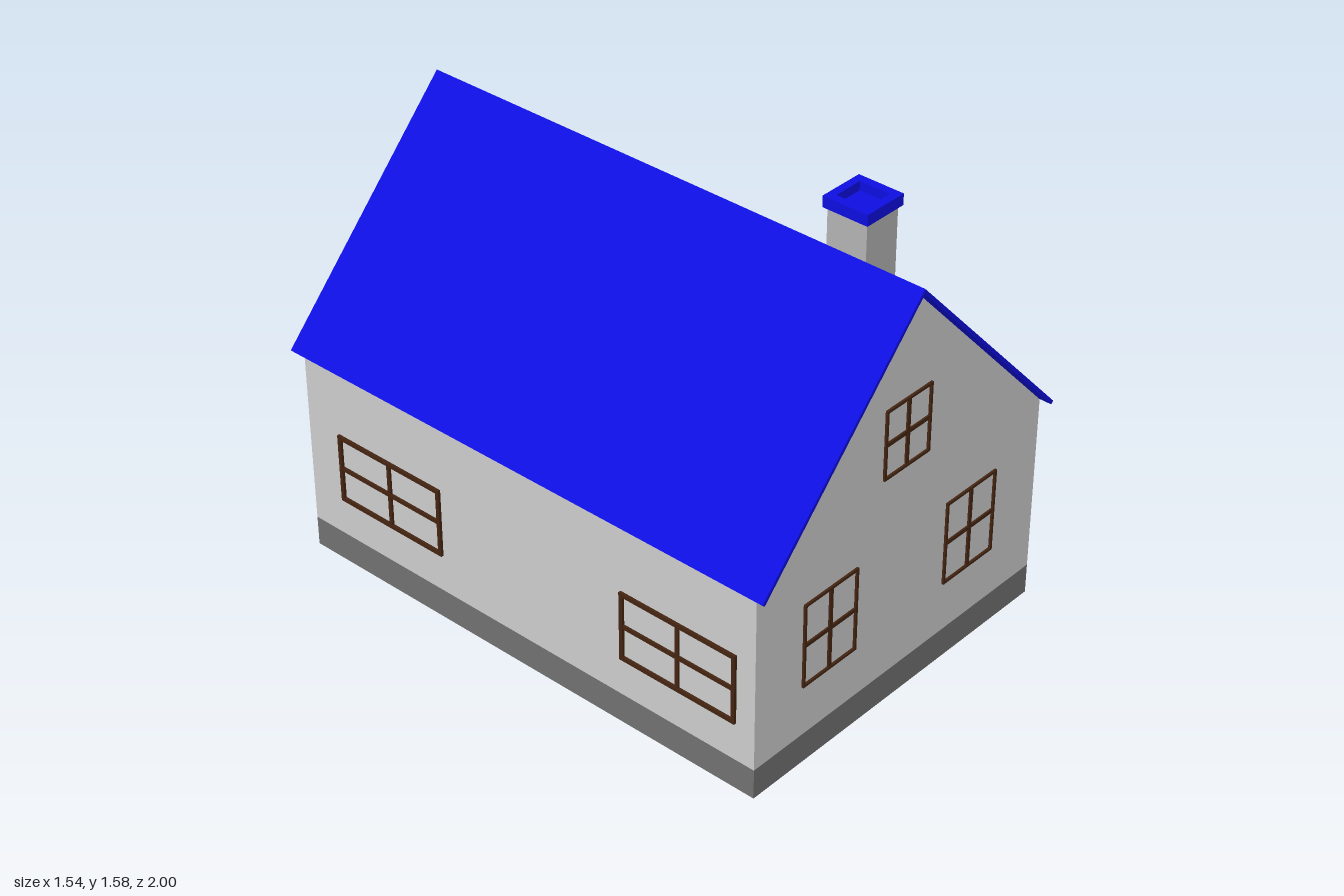
import * as THREE from 'three';

const mat = (color) => new THREE.MeshStandardMaterial({ color, flatShading: true });

function add(parent, name, geometry, material, x = 0, y = 0, z = 0) {
  const mesh = new THREE.Mesh(geometry, material);
  mesh.name = name;
  mesh.position.set(x, y, z);
  parent.add(mesh);
  return mesh;
}

const box = (w, h, d) => new THREE.BoxGeometry(w, h, d);

const shapeOf = (points) => new THREE.Shape(points.map(([x, y]) => new THREE.Vector2(x, y)));

const rectPoints = (cx, cy, w, h) => [
  [cx - w / 2, cy - h / 2], [cx + w / 2, cy - h / 2],
  [cx + w / 2, cy + h / 2], [cx - w / 2, cy + h / 2],
];

// Rectangular plate with rectangular holes [cx, cy, w, h], back face on z = 0
function plate(w, h, depth, holes) {
  const shape = shapeOf(rectPoints(0, 0, w, h));
  for (const hole of holes) shape.holes.push(shapeOf(rectPoints(...hole)));
  return new THREE.ExtrudeGeometry(shape, { depth, bevelEnabled: false });
}

export function createModel() {
  const house = new THREE.Group();
  house.name = 'house';

  const wall = mat(0xcccccc);
  const stone = mat(0x707070);
  const chimneyStone = mat(0xb2b2b2);
  const blue = mat(0x0e0ee0);
  const wood = mat(0x442412);
  const darkWood = mat(0x2a150a);
  const brass = mat(0xd8d010);

  const xL = -0.75, xR = 0.615, xMid = -0.07, zEnd = 0.96;
  const width = xR - xL, base = 0.11;

  // Foundation and steps
  add(house, 'foundation', box(width, base, 2 * zEnd), stone, (xL + xR) / 2, base / 2, 0);
  add(house, 'upperStep', box(0.09, base, 0.64), stone, xR + 0.045, base / 2, 0);
  add(house, 'lowerStep', box(0.065, 0.042, 0.64), stone, 0.7375, 0.021, 0);

  // Gabled walls
  const gable = shapeOf([[xL, base], [xR, base], [xR, 0.762], [xMid, 1.488], [xL, 0.762]]);
  add(house, 'walls', new THREE.ExtrudeGeometry(gable, { depth: 2 * zEnd, bevelEnabled: false }),
    wall, 0, 0, -zEnd);

  // Thin folded roof
  const roof = shapeOf([
    [-0.762, 0.757], [xMid, 1.49], [0.622, 0.757],
    [0.632, 0.766], [xMid, 1.508], [-0.772, 0.766],
  ]);
  add(house, 'roof', new THREE.ExtrudeGeometry(roof, { depth: 2, bevelEnabled: false }), blue, 0, 0, -1);

  // Chimney with a hollow cap
  const chimney = new THREE.Group();
  chimney.name = 'chimney';
  chimney.position.set(0.131, 0, 0.605);
  house.add(chimney);
  add(chimney, 'chimneyShaft', box(0.146, 0.34, 0.152), chimneyStone, 0, 1.37, 0);
  add(chimney, 'chimneyCap', plate(0.17, 0.172, 0.04, [[0, 0, 0.11, 0.115]]), blue, 0, 1.54, 0)
    .rotation.x = -Math.PI / 2;
  add(chimney, 'chimneyCapFloor', box(0.12, 0.008, 0.125), blue, 0, 1.544, 0);

  // Group standing on a wall face, its local +z pointing outwards
  function onWall(name, x, y, z, turn) {
    const group = new THREE.Group();
    group.name = name;
    group.position.set(x, y, z);
    group.rotation.y = turn;
    house.add(group);
    return group;
  }

  // Four-pane window
  function windowAt(name, x, y, z, turn, w, h, { rim = 0.009, bar = 0.014, depth = 0.008, sill = false } = {}) {
    const group = onWall(name, x, y, z, turn);
    add(group, 'frame', plate(w, h, depth, [[0, 0, w - 2 * rim, h - 2 * rim]]), wood);
    add(group, 'mullion', box(bar, h - rim, depth * 0.8), wood, 0, 0, depth * 0.4);
    add(group, 'crossbar', box(w - rim, bar, depth * 0.8), wood, 0, 0, depth * 0.4);
    if (sill) add(group, 'sill', box(w + 0.02, 0.014, 0.02), wood, 0, -h / 2, 0.01);
  }

  // Front and back gable windows
  for (const [side, z, turn, y] of [['front', zEnd, 0, 0.455], ['back', -zEnd, Math.PI, 0.385]]) {
    for (const x of [-0.41, 0.272]) windowAt(side + 'Window', x, y, z, turn, 0.25, 0.312);
    windowAt(side + 'AtticWindow', xMid, 0.995, z, turn, 0.218, 0.252,
      side === 'back' ? { rim: 0.018, bar: 0.018 } : {});
  }

  // Windows beside the door, and wide windows on the opposite wall
  for (const z of [-0.638, 0.64]) {
    windowAt('doorSideWindow', xR, 0.43, z, Math.PI / 2, 0.25, 0.33,
      { rim: 0.012, depth: 0.01, sill: true });
  }
  for (const z of [-0.585, 0.655]) {
    windowAt('wideWindow', xL, 0.382, z, -Math.PI / 2, 0.465, 0.258, { rim: 0.014, depth: 0.01 });
  }

  // Panelled door; its local x runs towards the back
  const doorW = 0.355, doorH = 0.565;
  const door = onWall('door', xR, base + doorH / 2, 0.002, Math.PI / 2);
  add(door, 'doorFrame', plate(doorW, doorH, 0.014, [[0, -0.012, 0.31, doorH - 0.024]]), wood);
  add(door, 'doorBacking', box(0.32, doorH - 0.01, 0.004), darkWood, 0, 0, 0.002);
  const panels = [];
  for (const x of [-0.078, 0.078]) panels.push([x, 0.115, 0.095, 0.215], [x, -0.145, 0.095, 0.21]);
  add(door, 'doorLeaf', plate(0.304, 0.533, 0.01, panels), wood, 0, -0.014, 0);
  for (const [x, y, w, h] of panels) {
    add(door, 'doorPanel', box(w - 0.02, h - 0.02, 0.008), wood, x, y - 0.014, 0.004);
  }

  // Door knob
  add(door, 'knobStem', new THREE.CylinderGeometry(0.004, 0.004, 0.016, 10), brass, 0.128, 0.046, 0.015)
    .rotation.x = Math.PI / 2;
  add(door, 'knob', new THREE.SphereGeometry(0.009, 14, 10),
    new THREE.MeshStandardMaterial({ color: 0xd8d010 }), 0.128, 0.046, 0.024);

  return house;
}
